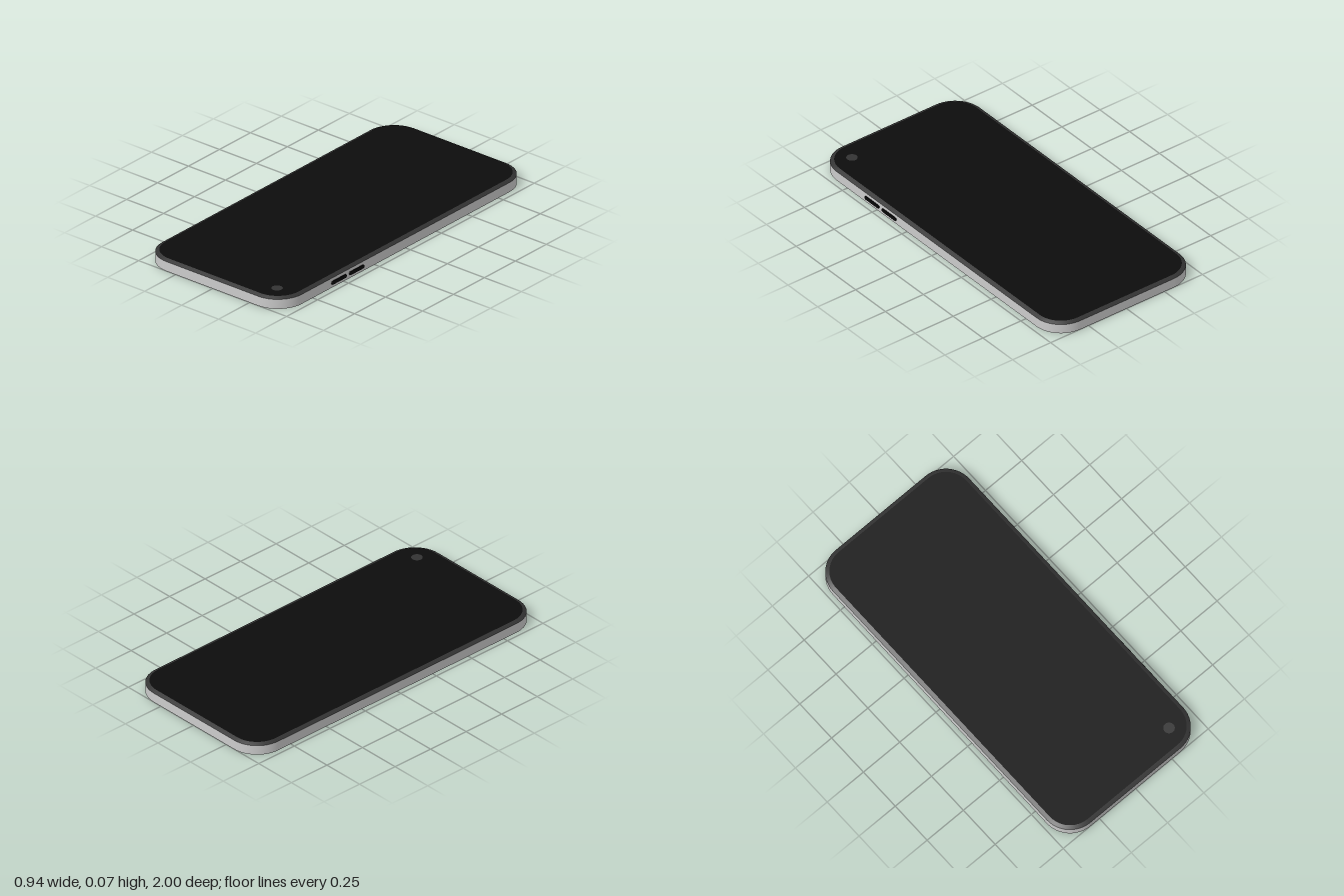
import * as THREE from 'three';

const W = 0.94, L = 2, R = 0.16, CX = -0.003; // outline size, corner radius, x offset
const WALL = 0.055, TOP = 0.065, BEVEL = 0.021;

// Rounded-rectangle outline, counter-clockwise, shrunk by an inset
function outline(inset, steps = 12) {
  const r = R - inset, pts = [];
  const corners = [[1, 1], [-1, 1], [-1, -1], [1, -1]];
  corners.forEach(([sx, sy], c) => {
    for (let i = 0; i <= steps; i++) {
      const a = (c + i / steps) * Math.PI / 2;
      pts.push(new THREE.Vector2(
        sx * (W / 2 - R) + r * Math.cos(a),
        sy * (L / 2 - R) + r * Math.sin(a)));
    }
  });
  return pts;
}

// Band of faces through a list of [inset, height] sections
function band(sections) {
  const pos = [], idx = [];
  let n = 0;
  sections.forEach(([inset, y]) => {
    const pts = outline(inset);
    n = pts.length;
    pts.forEach(p => pos.push(p.x, y, -p.y));
  });
  for (let s = 0; s < sections.length - 1; s++) {
    for (let i = 0; i < n; i++) {
      const a = s * n + i, b = s * n + (i + 1) % n;
      idx.push(a, b, b + n, a, b + n, a + n);
    }
  }
  const g = new THREE.BufferGeometry();
  g.setAttribute('position', new THREE.Float32BufferAttribute(pos, 3));
  g.setIndex(idx);
  g.computeVertexNormals();
  return g;
}

// Flat rounded panel facing up or down
function panel(inset, y, up) {
  const g = new THREE.ShapeGeometry(new THREE.Shape(outline(inset)));
  g.rotateX(up ? -Math.PI / 2 : Math.PI / 2);
  return g.translate(0, y, 0);
}

export function createModel() {
  const group = new THREE.Group();
  const add = (name, geometry, color) => {
    const mesh = new THREE.Mesh(geometry, new THREE.MeshStandardMaterial({ color }));
    mesh.name = name;
    mesh.position.x = CX;
    group.add(mesh);
    return mesh;
  };

  // Metal side frame, dark bevelled rim, screen and back
  add('sideFrame', band([[0, 0], [0, WALL]]), 0xcccccc);
  add('screenRim', band([[0, WALL], [0.012, 0.061], [BEVEL, TOP]]), 0x333333);
  add('screen', panel(BEVEL, TOP, true), 0x0c0c0c);
  add('backPanel', panel(0, 0, false), 0x1a1a1a);

  // Front camera dot in the screen corner
  const dot = new THREE.CircleGeometry(0.03, 32).rotateX(-Math.PI / 2);
  add('frontCamera', dot, 0x333333).position.set(0.335, TOP + 0.0006, 0.88);

  // Two pill-shaped buttons on the left edge
  [0.397, 0.54].forEach((z, i) => {
    const pill = new THREE.Shape(), h = 0.01, half = 0.05;
    pill.absarc(half, 0, h, -Math.PI / 2, Math.PI / 2);
    pill.absarc(-half, 0, h, Math.PI / 2, Math.PI * 1.5);
    const g = new THREE.ExtrudeGeometry(pill, { depth: 0.012, bevelEnabled: false, curveSegments: 8 });
    g.rotateY(Math.PI / 2);
    add('sideButton' + (i + 1), g, 0x080808).position.set(0.46, 0.027, z);
  });

  return group;
}
